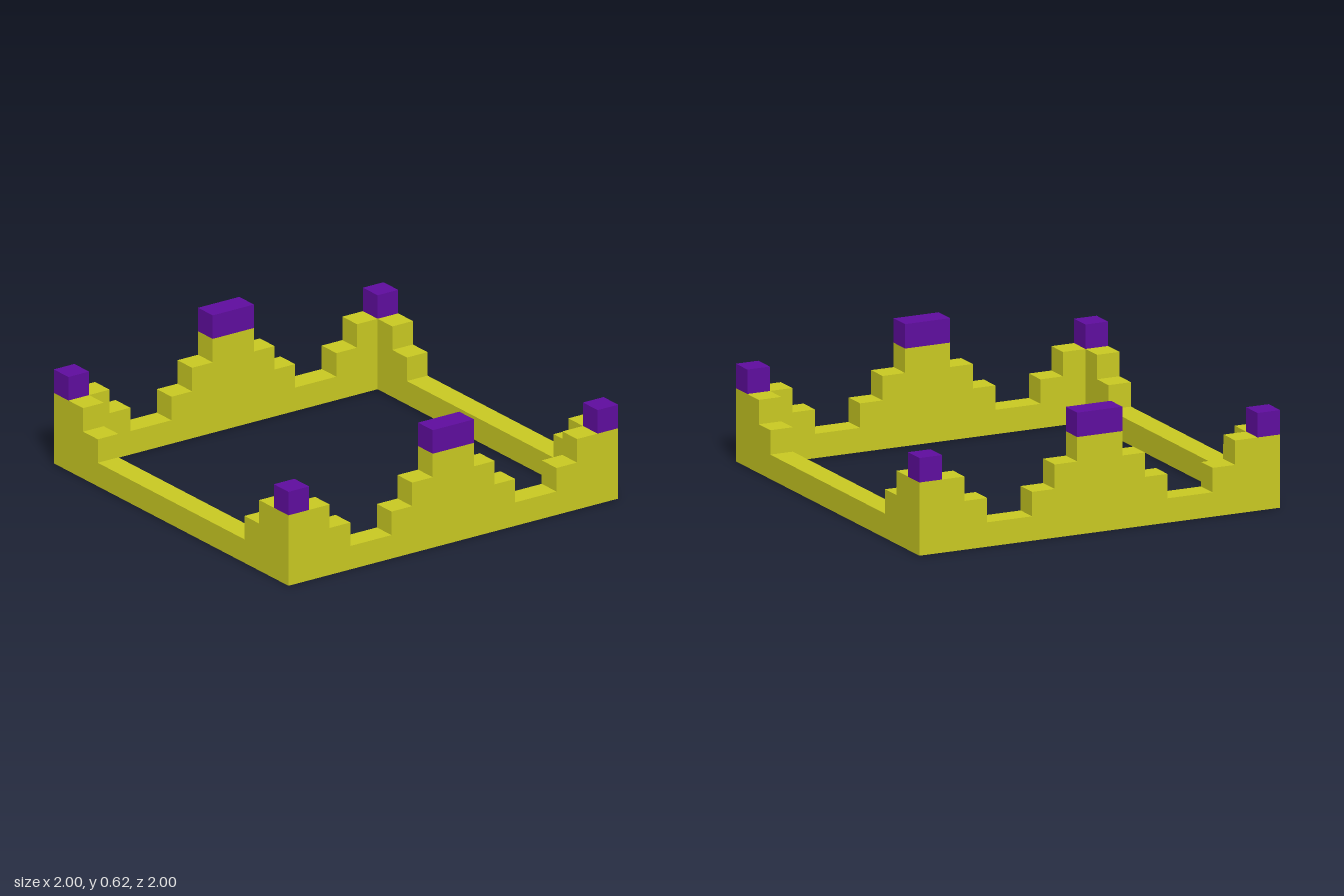
import * as THREE from 'three';

const U = 0.125; // block size

export function createModel() {
  const group = new THREE.Group();
  const yellow = new THREE.MeshStandardMaterial({ color: 0xc9c922 });
  yellow.name = 'yellow';
  const purple = new THREE.MeshStandardMaterial({ color: 0x5f0d9e });
  purple.name = 'purple';

  // Symmetric stepped wall; steps are [outer x, height] in blocks, from the middle outwards
  function steppedWall(steps) {
    const right = [];
    let inner = 0;
    for (const [outer, h] of steps) {
      right.push([inner, h], [outer, h]);
      inner = outer;
    }
    right.shift(); // drop the point on the mirror line
    const left = right.map(([x, y]) => [-x, y]).reverse();
    const pts = [[-inner, 0], [inner, 0], ...right.reverse(), ...left.reverse()];
    const shape = new THREE.Shape(pts.map(([x, y]) => new THREE.Vector2(x * U, y * U)));
    const geo = new THREE.ExtrudeGeometry(shape, { depth: U, bevelEnabled: false });
    return geo.translate(0, 0, -U / 2);
  }

  function add(name, geo, mat, x, y, z) {
    const mesh = new THREE.Mesh(geo, mat);
    mesh.name = name;
    mesh.position.set(x * U, y * U, z * U);
    group.add(mesh);
  }

  // Front and back walls: central stepped peak and stepped corners
  const longWall = steppedWall([[1, 4], [2, 3], [3, 2], [5, 1], [6, 2], [8, 3]]);
  // Side walls: low in the middle, stepping up to the corners
  const sideWall = steppedWall([[5, 1], [6, 2], [7, 3]]).rotateY(Math.PI / 2);
  const peakCap = new THREE.BoxGeometry(2 * U, U, U);
  const cornerCap = new THREE.BoxGeometry(U, U, U);

  for (const s of [1, -1]) {
    const end = s > 0 ? 'front' : 'back';
    add(end + 'Wall', longWall, yellow, 0, 0, 7.5 * s);
    add(end + 'PeakCap', peakCap, purple, 0, 4.5, 7.5 * s);
    add(s > 0 ? 'leftWall' : 'rightWall', sideWall, yellow, 7.5 * s, 0, 0);
    for (const t of [1, -1]) {
      add(end + (t > 0 ? 'Left' : 'Right') + 'CornerCap', cornerCap, purple, 7.5 * t, 3.5, 7.5 * s);
    }
  }
  return group;
}
